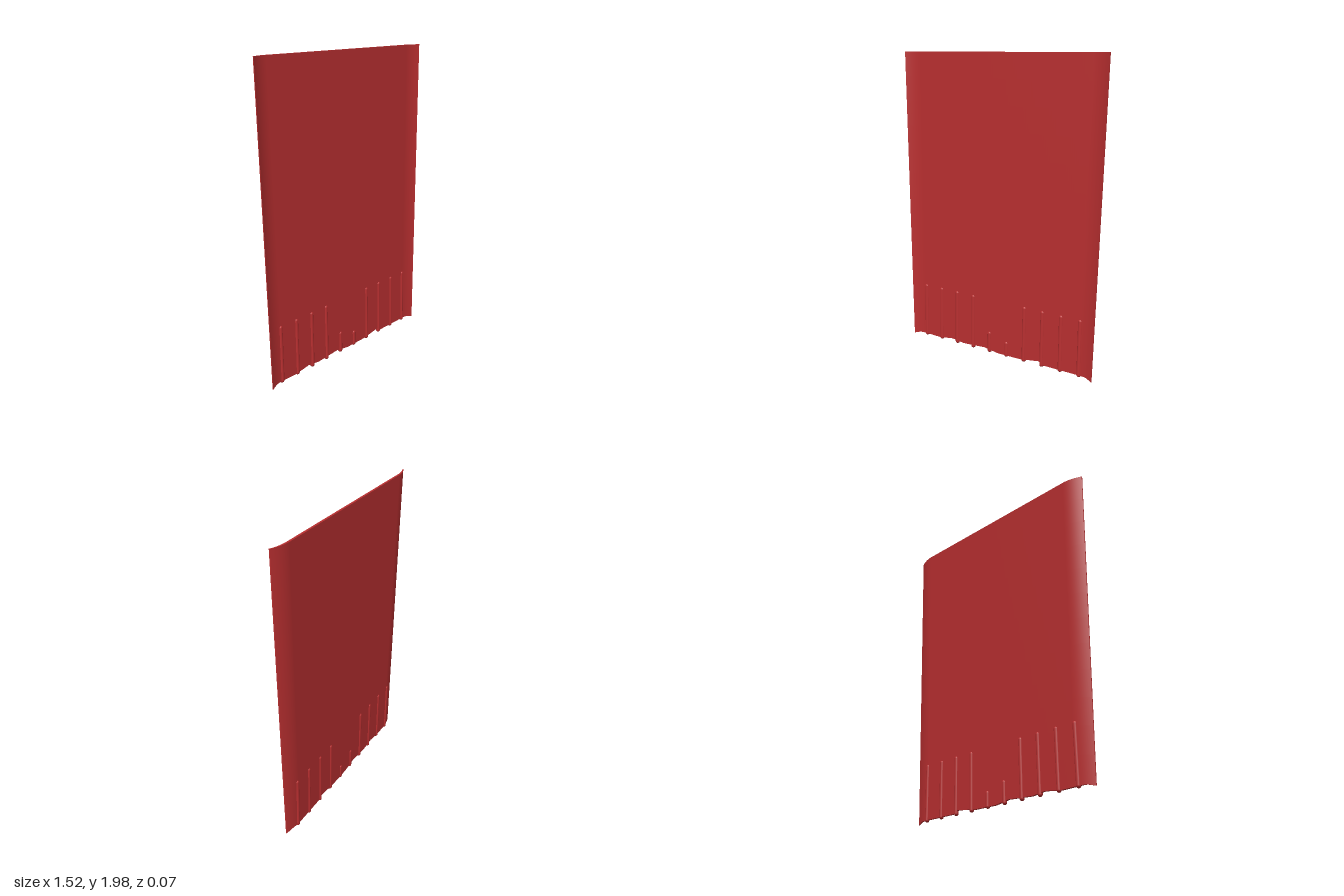
import * as THREE from 'three';
import { ParametricGeometry } from 'three/addons/geometries/ParametricGeometry.js';

const TOP = 2;

// z of the panel's middle surface: it leans back with height
const leanZ = (y) => 0.006 - 0.0175 * y;

// slightly ragged lower edge
const hem = [[-1, 0.022], [-0.93, 0.035], [-0.7, 0.032], [-0.53, 0.048], [-0.4, 0.036], [-0.15, 0.048],
  [0, 0.032], [0.25, 0.034], [0.45, 0.055], [0.5, 0.035], [0.93, 0.036], [1, 0.022]];
function hemY(s) {
  let i = 0;
  while (i < hem.length - 2 && s > hem[i + 1][0]) i++;
  const [a, b] = [hem[i], hem[i + 1]];
  return THREE.MathUtils.lerp(a[1], b[1], THREE.MathUtils.clamp((s - a[0]) / (b[0] - a[0]), 0, 1));
}

// s across (-1..1), v up (0..1), d through the thickness (-1 back, 1 front)
function panelPoint(s, v, d, target) {
  s = THREE.MathUtils.clamp(s, -1, 1);
  const y = THREE.MathUtils.lerp(hemY(s), TOP, v);
  const halfWidth = 0.712 + 0.024 * y;
  const t = Math.max(0, (Math.abs(s) - 0.84) / 0.16);
  const curl = (0.022 + 0.004 * y) * t * t;
  const halfThick = 0.007 - 0.004 * t;
  target.set(s * halfWidth, y, leanZ(y) + curl + d * halfThick);
}

export function createModel() {
  const model = new THREE.Group();
  const red = new THREE.MeshStandardMaterial({ color: 0xb92f30 });
  red.name = 'red';

  const add = (name, geometry, parent = model) => {
    const mesh = new THREE.Mesh(geometry, red);
    mesh.name = name;
    parent.add(mesh);
    return mesh;
  };

  // leaning panel with forward-curled side edges
  const panel = new THREE.Group();
  panel.name = 'panel';
  model.add(panel);
  const sheet = (name, fn, nu, nv) => add(name, new ParametricGeometry(fn, nu, nv), panel);
  sheet('frontFace', (u, v, p) => panelPoint(2 * u - 1, v, 1, p), 120, 12);
  sheet('backFace', (u, v, p) => panelPoint(1 - 2 * u, v, -1, p), 120, 12);
  sheet('topRim', (u, v, p) => panelPoint(2 * u - 1, 1, 1 - 2 * v, p), 120, 1);
  sheet('bottomRim', (u, v, p) => panelPoint(2 * u - 1, 0, 2 * v - 1, p), 120, 1);
  sheet('leftRim', (u, v, p) => panelPoint(1, v, 1 - 2 * u, p), 1, 12);
  sheet('rightRim', (u, v, p) => panelPoint(-1, v, 2 * u - 1, p), 1, 12);

  // round ribs at the lower edge, standing out on both faces
  const ribs = new THREE.Group();
  ribs.name = 'ribs';
  model.add(ribs);
  const radius = 0.0145;
  const bottom = 0.022;
  const addRib = (x, top) => {
    const rib = add('rib', new THREE.CapsuleGeometry(radius, top - bottom - 2 * radius, 5, 14), ribs);
    const y = (top + bottom) / 2;
    rib.position.set(x, y, leanZ(y));
    rib.rotation.x = -0.0175;
  };
  for (const side of [-1, 1]) {
    for (const x of [0.205, 0.341, 0.477, 0.612]) addRib(side * x, 0.4);
    addRib(side * 0.068, side < 0 ? 0.17 : 0.13);
  }

  return model;
}
